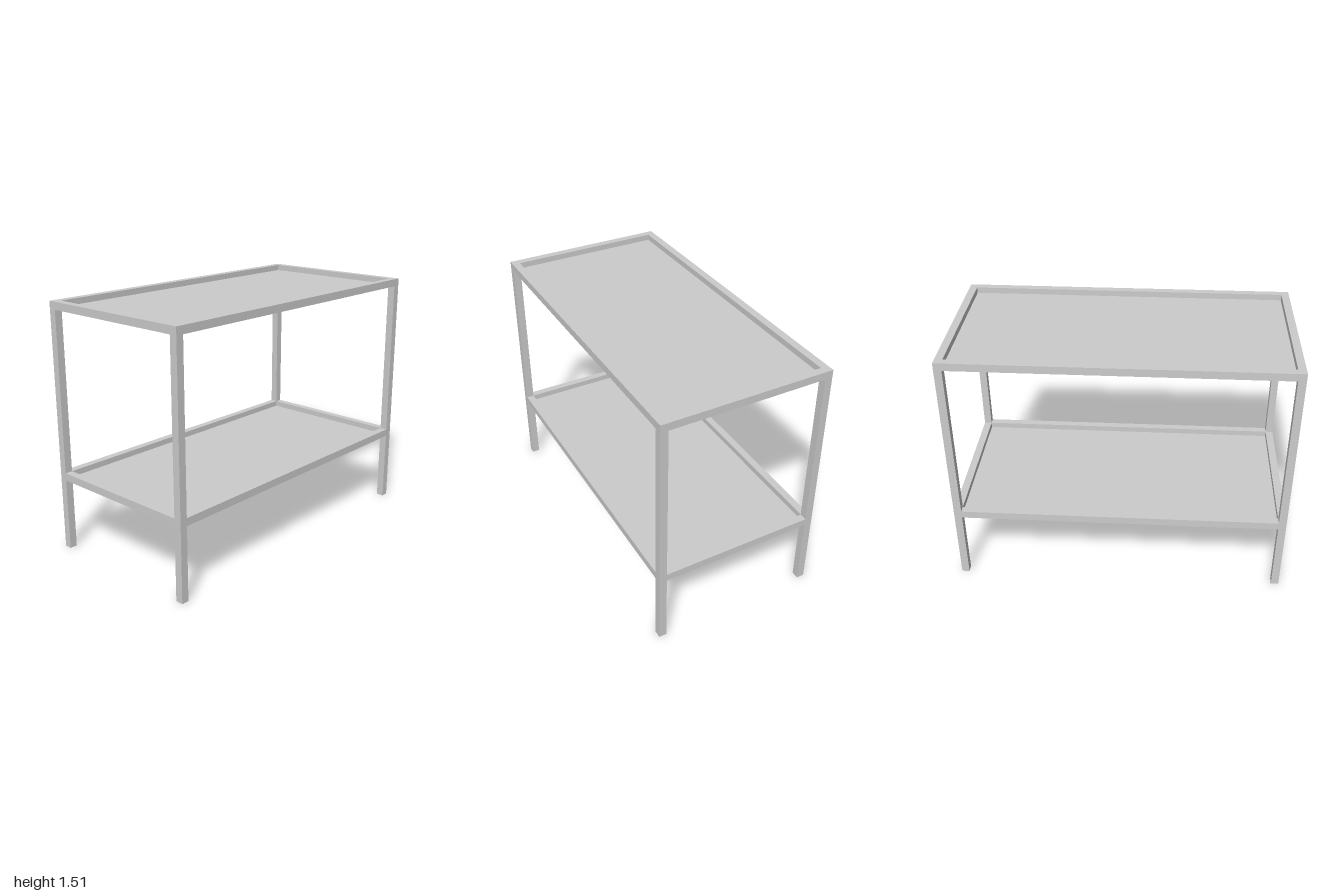
import * as THREE from 'three';

const W = 1.02, D = 2, H = 1.515; // overall size
const T = 0.046;                  // square tube thickness
const PANEL = 0.01;               // shelf sheet thickness

const material = new THREE.MeshStandardMaterial({ color: 0xcccccc, flatShading: true });

function box(name, w, h, d, x, y, z) {
  const mesh = new THREE.Mesh(new THREE.BoxGeometry(w, h, d), material);
  mesh.name = name;
  mesh.position.set(x, y, z);
  return mesh;
}

// Four rails between the legs, with a thin sheet flush with their underside
function createShelf(name, topY) {
  const shelf = new THREE.Group();
  shelf.name = name;
  const y = topY - T / 2;
  for (const s of [-1, 1]) {
    shelf.add(box('sideRail', T, T, D - 2 * T, s * (W - T) / 2, y, 0));
    shelf.add(box('endRail', W - 2 * T, T, T, 0, y, s * (D - T) / 2));
  }
  shelf.add(box('panel', W - 2 * T, PANEL, D - 2 * T, 0, topY - T + PANEL / 2, 0));
  return shelf;
}

export function createModel() {
  const table = new THREE.Group();
  table.name = 'twoTierTable';

  // Corner legs, full height
  for (const sx of [-1, 1]) {
    for (const sz of [-1, 1]) {
      table.add(box('leg', T, H, T, sx * (W - T) / 2, H / 2, sz * (D - T) / 2));
    }
  }

  table.add(createShelf('topShelf', H));
  table.add(createShelf('lowerShelf', 0.489));
  return table;
}
